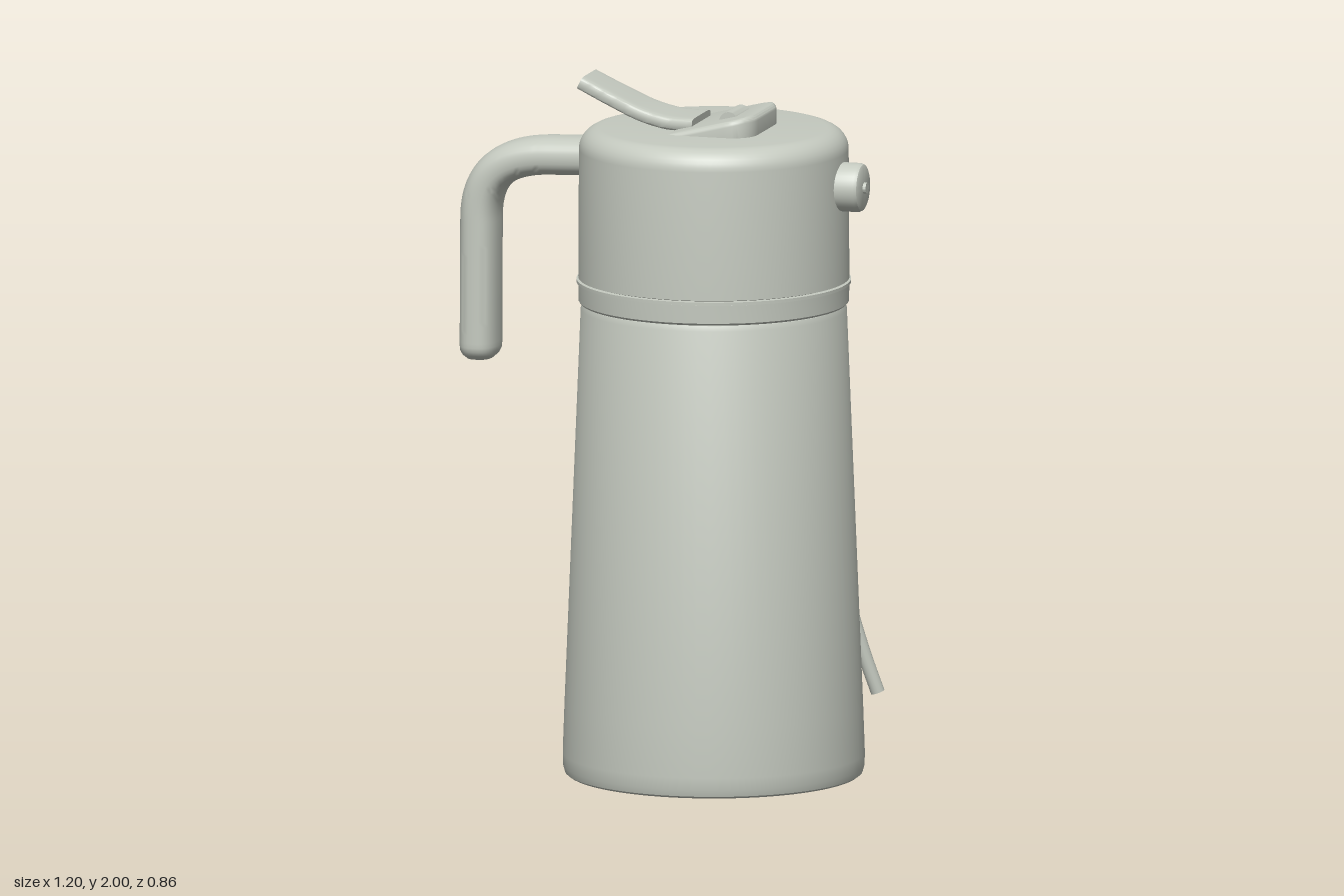
import * as THREE from 'three';
import { toCreasedNormals } from 'three/addons/utils/BufferGeometryUtils.js';

const AXIS_X = 0.145; // the flask stands off-centre because of the handle

const grey = new THREE.MeshStandardMaterial({ color: 0xc5cac0 });
grey.name = 'warm grey';

function part(name, geometry, crease = 0.6) {
  const mesh = new THREE.Mesh(crease ? toCreasedNormals(geometry, crease) : geometry, grey);
  mesh.name = name;
  return mesh;
}

// Revolved part from [radius, height] pairs, bottom to top
function lathe(name, profile) {
  const mesh = part(name, new THREE.LatheGeometry(profile.map(([r, y]) => new THREE.Vector2(r, y)), 72));
  mesh.position.x = AXIS_X;
  return mesh;
}

// Sweeps a rounded section along a curve in the xy plane.
// size(t) gives [half thickness, half width]; power 1 is an ellipse, smaller is boxier.
function sweep(curve, steps, sides, power, size) {
  const pos = [], index = [];
  const soft = v => Math.sign(v) * Math.abs(v) ** power;
  for (let i = 0; i <= steps; i++) {
    const t = i / steps, p = curve.getPointAt(t), d = curve.getTangentAt(t), [a, b] = size(t);
    for (let j = 0; j < sides; j++) {
      const angle = (j / sides) * Math.PI * 2;
      const n = soft(Math.cos(angle)) * a;
      pos.push(p.x - d.y * n, p.y + d.x * n, soft(Math.sin(angle)) * b);
      if (i < steps) {
        const k = i * sides + j, m = i * sides + (j + 1) % sides;
        index.push(k, m, k + sides, m, m + sides, k + sides);
      }
    }
  }
  // End caps
  const last = steps * sides, centre = pos.length / 3;
  const start = curve.getPointAt(0), end = curve.getPointAt(1);
  pos.push(start.x, start.y, 0, end.x, end.y, 0);
  for (let j = 0; j < sides; j++) {
    const m = (j + 1) % sides;
    index.push(centre, m, j, centre + 1, last + j, last + m);
  }
  const g = new THREE.BufferGeometry();
  g.setAttribute('position', new THREE.Float32BufferAttribute(pos, 3));
  g.setIndex(index);
  return g;
}

export function createModel() {
  const model = new THREE.Group();
  model.name = 'flask';
  const v2 = (x, y) => new THREE.Vector3(x, y, 0);

  // Tapered body with a flat base
  model.add(lathe('body', [
    [0, 0], [0.415, 0], [0.423, 0.006], [0.428, 0.025], [0.429, 0.06], [0.424, 0.2],
    [0.378, 1.34], [0.372, 1.355], [0.36, 1.36],
  ]));

  // Collar, seam ring and rounded lid
  model.add(lathe('collar', [[0.35, 1.358], [0.379, 1.358], [0.384, 1.364], [0.385, 1.416], [0.375, 1.418]]));
  model.add(lathe('seamRing', [[0.375, 1.417], [0.39, 1.417], [0.39, 1.426], [0.375, 1.427]]));
  const lid = [[0.375, 1.427], [0.385, 1.43]];
  for (let i = 0; i <= 8; i++) {
    const a = (i / 8) * Math.PI / 2;
    lid.push([0.32 + 0.063 * Math.cos(a), 1.8 + 0.062 * Math.sin(a)]);
  }
  lid.push([0, 1.862]);
  model.add(lathe('lid', lid));

  // Bent side handle, rounded off at its free end
  const path = new THREE.CurvePath();
  path.add(new THREE.LineCurve3(v2(-0.19, 1.762), v2(-0.33, 1.757)));
  path.add(new THREE.CubicBezierCurve3(v2(-0.33, 1.757), v2(-0.47, 1.752), v2(-0.542, 1.70), v2(-0.544, 1.57)));
  path.add(new THREE.LineCurve3(v2(-0.544, 1.57), v2(-0.546, 1.162)));
  const handle = sweep(path, 70, 32, 0.8, t => {
    const e = Math.max(0, (t - 0.96) / 0.04);
    const s = Math.sqrt(1 - 0.6 * e * e);
    return [0.055 * s, 0.082 * s];
  });
  model.add(part('handle', handle, 0.7));

  // Wedge-shaped pad on the lid, rising towards the spout side
  const w = 0.225, h = 0.29, r = 0.065, s = new THREE.Shape();
  s.moveTo(0, -h / 2);
  s.lineTo(w - r, -h / 2);
  s.quadraticCurveTo(w, -h / 2, w, -h / 2 + r);
  s.lineTo(w, h / 2 - r);
  s.quadraticCurveTo(w, h / 2, w - r, h / 2);
  s.lineTo(0, h / 2);
  s.closePath();
  const pad = new THREE.ExtrudeGeometry(s, {
    depth: 0.06, bevelThickness: 0.016, bevelSize: 0.016, bevelSegments: 4, curveSegments: 10,
  });
  pad.rotateX(-Math.PI / 2);
  pad.translate(0.06, 1.844, 0);
  const p = pad.attributes.position;
  for (let i = 0; i < p.count; i++) {
    p.setY(i, p.getY(i) - Math.max(0, 0.28 - p.getX(i)) * 0.25);
  }
  model.add(part('lidPad', pad));

  // Small rocker latch set into the pad
  const latch = new THREE.CylinderGeometry(0.028, 0.028, 0.126, 24);
  latch.rotateX(Math.PI / 2);
  latch.translate(0.208, 1.891, 0);
  model.add(part('latch', latch));

  // Curved flip lever
  const leverPath = new THREE.CatmullRomCurve3([
    v2(0.107, 1.877), v2(0.03, 1.88), v2(-0.05, 1.899), v2(-0.14, 1.937), v2(-0.232, 1.98),
  ]);
  const lever = sweep(leverPath, 24, 32, 0.35, t => [0.02, 0.091 - 0.015 * t]);
  model.add(part('lever', lever));

  // Round side button with a small centre pin
  const button = new THREE.LatheGeometry([
    [0, 0], [0.07, 0], [0.07, 0.07], [0.066, 0.079], [0.058, 0.083], [0, 0.083],
  ].map(([a, b]) => new THREE.Vector2(a, b)), 40);
  button.rotateZ(-Math.PI / 2);
  button.translate(0.508, 1.71, 0);
  model.add(part('button', button));
  const pin = new THREE.CylinderGeometry(0.016, 0.016, 0.03, 20);
  pin.rotateZ(-Math.PI / 2);
  pin.translate(0.585, 1.71, 0);
  model.add(part('buttonPin', pin));

  // Thin peg hanging from the lower back of the body
  const pegPath = new THREE.CatmullRomCurve3([
    new THREE.Vector3(0.45, 0.53, -0.258), new THREE.Vector3(0.475, 0.42, -0.27),
    new THREE.Vector3(0.505, 0.31, -0.284), new THREE.Vector3(0.54, 0.2, -0.3),
  ]);
  const peg = new THREE.Group();
  peg.name = 'peg';
  peg.add(part('pegRod', new THREE.TubeGeometry(pegPath, 16, 0.02, 16), 0));
  const tip = part('pegTip', new THREE.CircleGeometry(0.02, 16), 0);
  tip.position.copy(pegPath.getPoint(1));
  tip.lookAt(tip.position.clone().add(pegPath.getTangent(1)));
  peg.add(tip);
  model.add(peg);

  return model;
}
